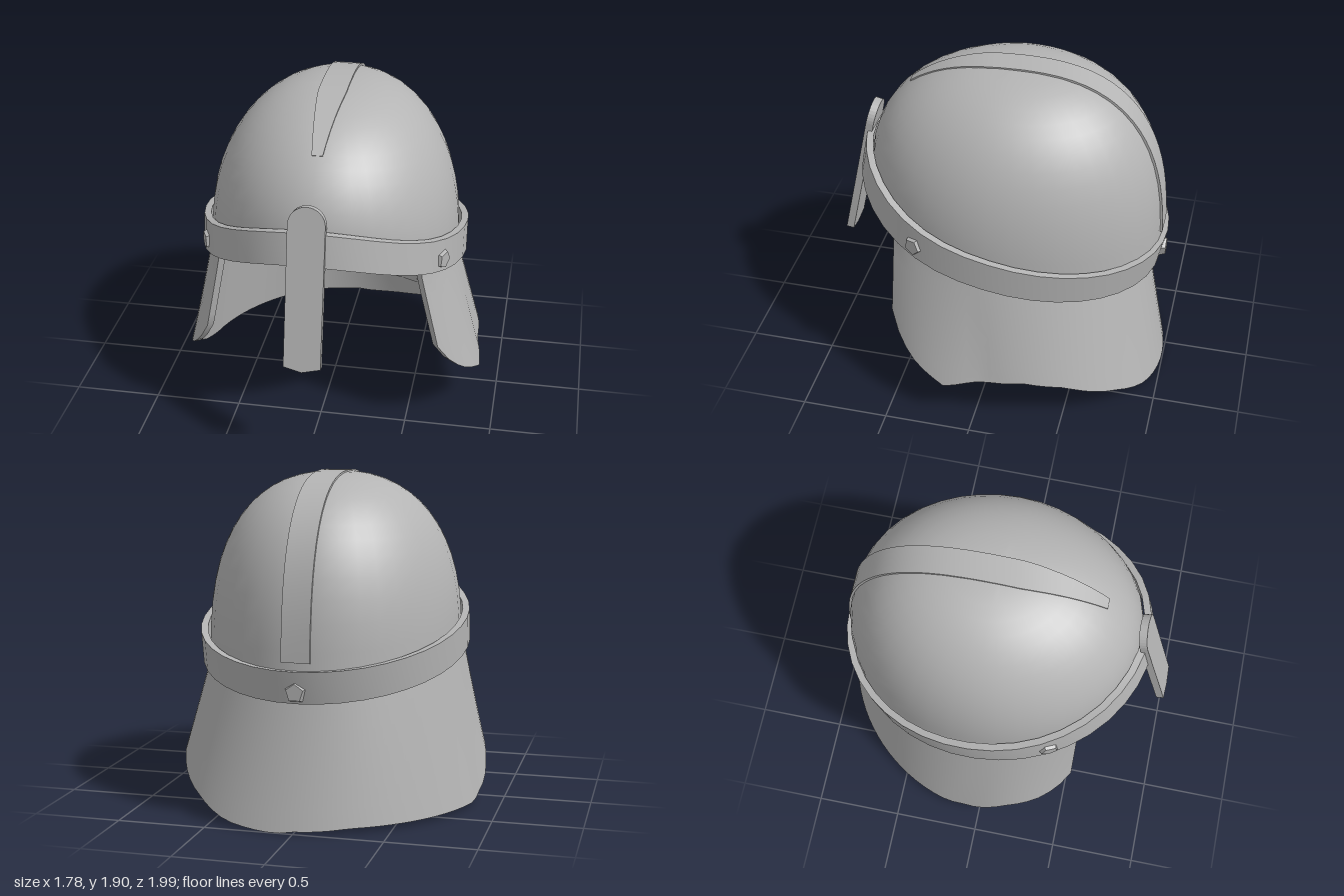
import * as THREE from 'three';
import { toCreasedNormals } from 'three/addons/utils/BufferGeometryUtils.js';

const steel = new THREE.MeshStandardMaterial({ color: 0xb4b4b4, side: THREE.DoubleSide });
steel.name = 'steel grey';

// Skins a row of equal closed loops; ring = last loop joins the first, otherwise both ends are capped
function loft(loops, ring = false) {
  const n = loops[0].length, pos = loops.flat(2), tris = [];
  const quad = (a, b, c, d) => tris.push([a, b, c], [a, c, d]);
  const last = loops.length - 1;
  for (let i = 0; i < (ring ? last + 1 : last); i++) {
    const p = i * n, q = ((i + 1) % loops.length) * n;
    for (let k = 0; k < n; k++) quad(p + k, p + (k + 1) % n, q + (k + 1) % n, q + k);
  }
  if (!ring) for (let k = 0; k < n / 2 - 1; k++) {
    quad(n - 1 - k, n - 2 - k, k + 1, k);
    const e = last * n;
    quad(e + k, e + k + 1, e + n - 2 - k, e + n - 1 - k);
  }
  // keep the faces pointing outwards
  const v = i => new THREE.Vector3(pos[3 * i], pos[3 * i + 1], pos[3 * i + 2]);
  const volume = tris.reduce((s, [a, b, c]) => s + v(a).dot(v(b).cross(v(c))), 0);
  if (volume < 0) tris.forEach(t => t.reverse());
  const geo = new THREE.BufferGeometry();
  geo.setAttribute('position', new THREE.Float32BufferAttribute(pos, 3));
  geo.setIndex(tris.flat());
  return toCreasedNormals(geo, 0.6);
}

const range = (n, f) => Array.from({ length: n }, (_, i) => f(i));
const mix = THREE.MathUtils.lerp;
// Reads a table of [z, value] pairs sorted from front to back
function lookup(table, z) {
  if (z >= table[0][0]) return table[0][1];
  for (let i = 1; i < table.length; i++) {
    const [z0, v0] = table[i - 1], [z1, v1] = table[i];
    if (z >= z1) return mix(v1, v0, (z - z1) / (z0 - z1));
  }
  return table[table.length - 1][1];
}

// Height of the brow band's middle line, rising to the front
const bandY = z => z > 0 ? 0.985 + 0.17 * z + 0.25 * z ** 3 : 0.985 + 0.21 * z;

// Point on the dome: a = angle from the front, t = 0 at the rim to 1 at the top
function domePoint(a, t, scale = 1) {
  const c = Math.cos(a), n = 2.35 - 0.3 * c + 0.1 * c * c;
  const r = Math.cos(t * Math.PI / 2) ** (2 / n) * scale;
  const h = Math.sin(t * Math.PI / 2) ** (2 / n) * scale;
  const base = bandY(-0.06 + 0.87 * c) - 0.05, mid = -0.04;
  return [0.725 * Math.sin(a) * r, base + (1.89 - base) * h, mid + (c > 0 ? 0.83 : 0.89) * c * r];
}

// Oval outline of the neck guard at height y
const guardOval = y => {
  const rz = 0.9 - 0.06 * y;
  return { rx: 0.88 - 0.178 * y, rz, c: rz - 0.99 + 0.2 * y };
};
const onOval = (o, a, y, inset = 0) =>
  [(o.rx - inset) * Math.sin(a), y, o.c + (o.rz - inset) * Math.cos(a)];

// Guard surface: cheeks flare outwards, and the back is bent a little towards the left
function guardPoint(a, y, inset) {
  const o = guardOval(y), s = Math.sin(a), c = Math.cos(a), f = Math.max(0, 1 - y);
  const back = 1 - 0.11 * f * s * Math.min(c, 0);
  const rx = (o.rx + (s > 0 ? 0.05 * f : 0)) * (1 + 0.3 * f * Math.max(c, 0)) * back - inset;
  return [rx * s, y, o.c + (o.rz * back - inset) * c];
}

// Lower edge heights of the guard on each side
const cheek = [[0.53, 0.55], [0.5, 0.47], [0.43, 0.38], [0.35, 0.31], [0.17, 0.22]];
const leftEdge = [...cheek, [0, 0.27], [-0.3, 0.29], [-0.5, 0.25], [-0.75, 0.12], [-0.87, 0.03], [-0.94, 0]];
const rightEdge = [...cheek, [0, 0.09], [-0.2, 0.02], [-0.9, 0.025], [-0.95, 0.01]];

function guardLoop(u) {
  // u runs from 1 (left cheek) through 0 (back) to -1 (right cheek)
  const angle = y => {
    const o = guardOval(y);
    return Math.PI - u * (Math.PI - Math.acos((0.53 - o.c) / o.rz));
  };
  const zAt = y => guardOval(y).c + guardOval(y).rz * Math.cos(angle(y));
  const bottom = lookup(u > 0 ? leftEdge : rightEdge, zAt(0.2));
  const top = bandY(zAt(0.9)) + 0.03;
  const row = (k, inset) => {
    const y = mix(top, bottom, k / 8);
    return guardPoint(angle(y), y, inset);
  };
  return [...range(9, k => row(k, 0)), ...range(9, k => row(8 - k, 0.04))];
}

export function createModel() {
  const group = new THREE.Group();
  const add = (name, geo) => {
    const mesh = new THREE.Mesh(geo, steel);
    mesh.name = name;
    group.add(mesh);
    return mesh;
  };

  // Hollow dome
  add('dome', loft(range(40, i => {
    const a = i / 40 * Math.PI * 2;
    return [...range(15, k => domePoint(a, k / 14)), ...range(15, k => domePoint(a, 1 - k / 14, 0.97))];
  }), true));

  // Nearly flush crest strip from the back rim over the top, narrowing at the front
  add('crest', loft(range(29, i => {
    const s = mix(-0.95, 0.5, i / 28);
    const a = s < 0 ? Math.PI : 0, t = 1 - Math.abs(s);
    const w = s < 0.1 ? 0.08 : mix(0.08, 0.03, (s - 0.1) / 0.4);
    const [, y, z] = domePoint(a, t, 1.006);
    const [, y2, z2] = domePoint(a, t, 0.98);
    return [[w, y, z], [-w, y, z], [-w, y2, z2], [w, y2, z2]];
  })));

  // Brow band, leaning slightly backwards
  const outer = { rx: 0.775, rz: 0.89, c: -0.05 };
  add('browBand', loft(range(40, i => {
    const a = i / 40 * Math.PI * 2, y = bandY(outer.c + outer.rz * Math.cos(a));
    return [[0, 0.09], [0, -0.09], [0.04, -0.09], [0.04, 0.09]].map(([inset, dy]) => {
      const [px, py, pz] = onOval(outer, a, y + dy, inset);
      return [px, py, pz - 0.2 * dy];
    });
  }), true));

  // Flared neck guard with cheek pieces
  add('neckGuard', loft(range(61, i => guardLoop(1 - i / 30))));

  // Thin plate on the inside of the neck guard
  add('innerPlate', loft(range(9, i => {
    const f = i / 8, x = mix(-0.37, 0.37, f);
    const low = mix(0.21, 0.155, f), high = mix(0.41, 0.385, f);
    const point = (y, inset) => guardPoint(Math.PI - Math.asin(x / (guardOval(y).rx - inset)), y, inset);
    return [point(high, 0.039), point(low, 0.039), point(low, 0.048), point(high, 0.048)];
  })));

  // Nose guard, rounded above and slightly pointed below
  const nose = new THREE.Shape();
  nose.moveTo(0, 0);
  nose.lineTo(0.103, 0.025);
  nose.lineTo(0.103, 0.827);
  nose.absarc(0, 0.827, 0.103, 0, Math.PI, false);
  nose.lineTo(-0.103, 0.025);
  const noseGuard = add('noseGuard',
    new THREE.ExtrudeGeometry(nose, { depth: 0.045, bevelEnabled: false, curveSegments: 8 }));
  noseGuard.position.set(-0.012, 0.597, 0.956);
  noseGuard.rotation.x = -0.215;

  // Five-sided rivets on both temples and at the back
  const rivetGeo = toCreasedNormals(new THREE.CylinderGeometry(0.05, 0.065, 0.04, 5), 0.3);
  for (const [name, a] of [['leftRivet', 1.06], ['rightRivet', -1.06], ['backRivet', Math.PI]]) {
    const z = outer.c + outer.rz * Math.cos(a);
    const rivet = add(name, rivetGeo);
    rivet.position.set(...onOval(outer, a, bandY(z) - 0.025, 0.004));
    const normal = new THREE.Vector3(Math.sin(a) / outer.rx, 0, Math.cos(a) / outer.rz).normalize();
    rivet.quaternion.setFromUnitVectors(new THREE.Vector3(0, 1, 0), normal);
  }
  return group;
}
